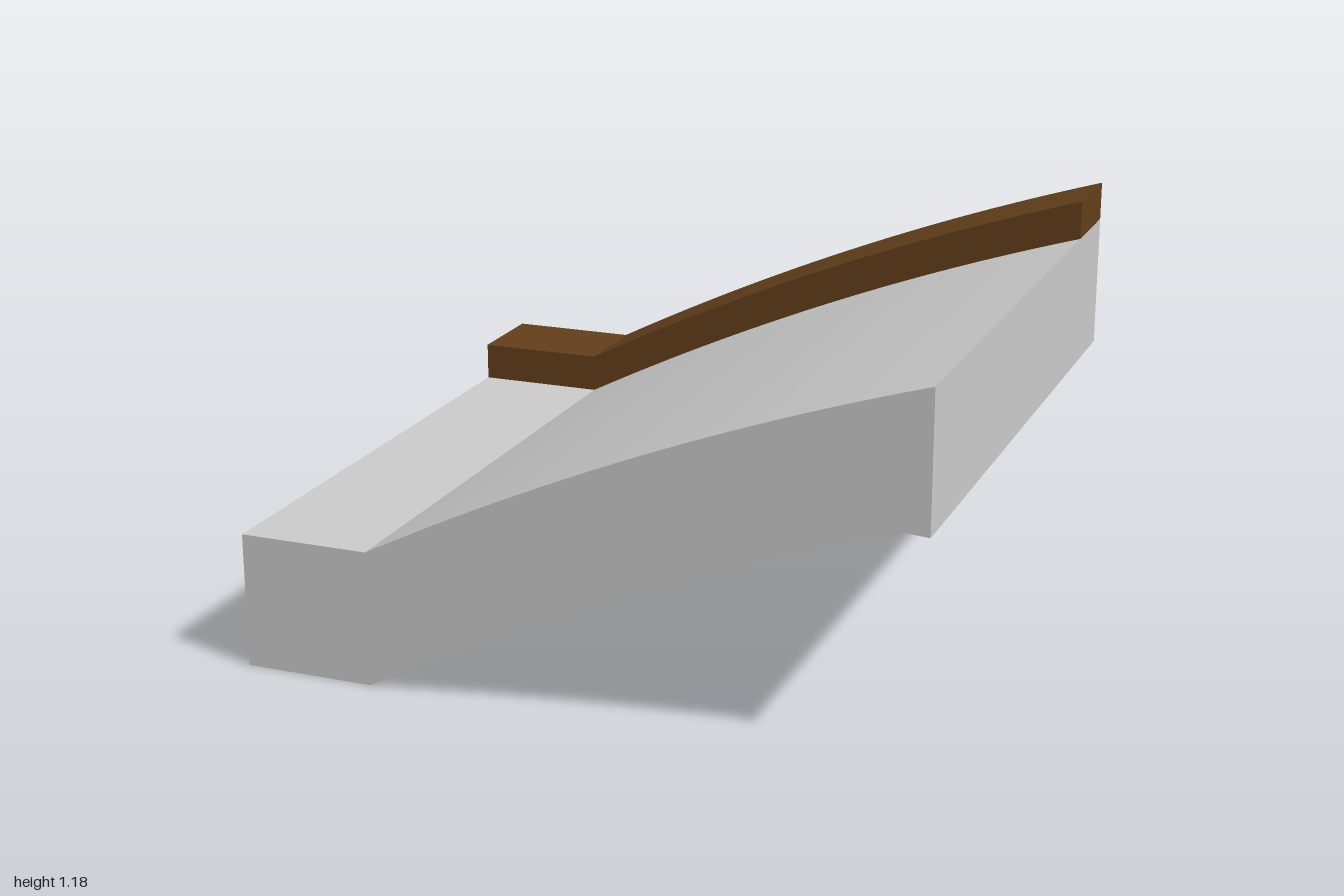
import * as THREE from 'three';

const BEND = -0.61; // x where the flat landing turns into the slope

// Extrudes a side profile between two depths.
function slab(name, shape, zBack, zFront, color) {
  const geometry = new THREE.ExtrudeGeometry(shape, {
    depth: zFront - zBack, bevelEnabled: false, curveSegments: 24,
  });
  geometry.translate(0, 0, zBack);
  const mesh = new THREE.Mesh(geometry, new THREE.MeshStandardMaterial({ color }));
  mesh.name = name;
  return mesh;
}

// Curved ramp surface, drawn from the low end to the high end.
function drawSurface(shape, lift) {
  shape.lineTo(BEND, 0.40 + lift);
  shape.quadraticCurveTo(0.195, 0.823 + lift, 1, 1.063 + lift);
}

export function createModel() {
  const group = new THREE.Group();
  group.name = 'ramp';

  // Thick deck: flat landing, curved slope, short level lip under the high end
  const deck = new THREE.Shape();
  deck.moveTo(-1, 0);
  deck.lineTo(-1, 0.40);
  drawSurface(deck, 0);
  deck.lineTo(1, 0.665);
  deck.lineTo(0.93, 0.67);
  deck.quadraticCurveTo(0.16, 0.419, BEND, 0);
  deck.closePath();
  group.add(slab('deck', deck, -0.937, 0.937, 0xcccccc));

  // Raised curb following the deck along its back edge
  const curb = new THREE.Shape();
  const height = 0.115;
  curb.moveTo(-1, 0.40);
  curb.lineTo(-1, 0.40 + height);
  drawSurface(curb, height);
  curb.lineTo(1, 1.063);
  curb.quadraticCurveTo(0.195, 0.823, BEND, 0.40);
  curb.closePath();
  group.add(slab('curb', curb, -0.937, -0.66, 0x633f1a));

  return group;
}
